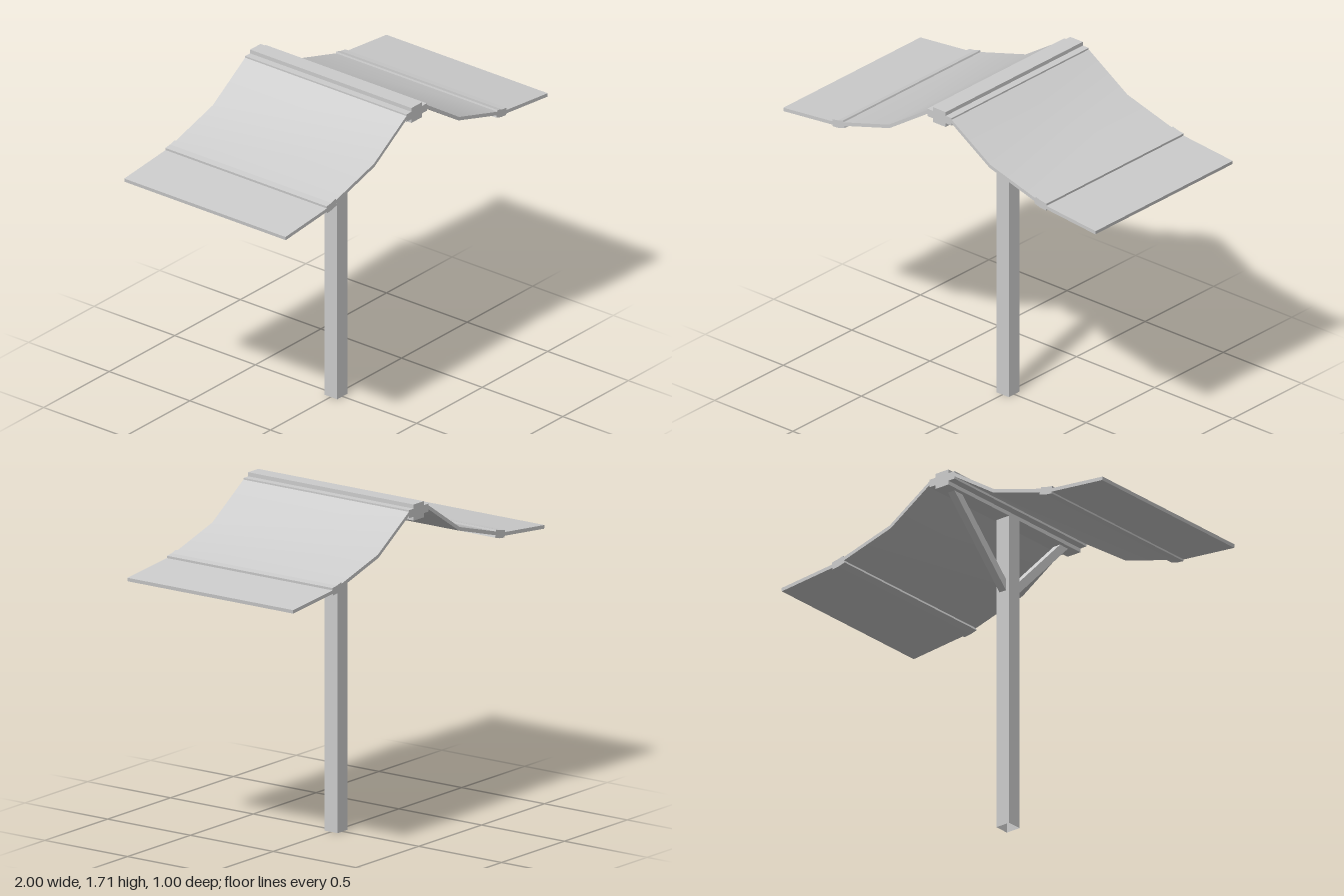
import * as THREE from 'three';
import { toCreasedNormals } from 'three/addons/utils/BufferGeometryUtils.js';

const grey = new THREE.MeshStandardMaterial({ color: 0xcccccc });
const greyOpen = new THREE.MeshStandardMaterial({ color: 0xcccccc, side: THREE.DoubleSide });

// Extrude an outline of [x, y] points, centred on z, softening only shallow bends.
function prism(points, depth, crease = 0.1) {
  const shape = new THREE.Shape(points.map(([x, y]) => new THREE.Vector2(x, y)));
  const geo = new THREE.ExtrudeGeometry(shape, { depth, bevelEnabled: false });
  geo.translate(0, 0, -depth / 2);
  return toCreasedNormals(geo, crease);
}

export function createModel() {
  const model = new THREE.Group();
  model.name = 'canopy';
  const add = (name, geo, material = grey) => {
    const mesh = new THREE.Mesh(geo, material);
    mesh.name = name;
    model.add(mesh);
    return mesh;
  };

  // Square hollow post, open at the ends
  const postGeo = new THREE.CylinderGeometry(0.04 * Math.SQRT2, 0.04 * Math.SQRT2, 1.64, 4, 1, true);
  postGeo.rotateY(Math.PI / 4);
  postGeo.translate(0, 0.82, 0);
  add('post', toCreasedNormals(postGeo, 0.5), greyOpen);

  // Ridge beam with a cross-shaped section
  const half = [[0.04, 1.63], [0.04, 1.65], [0.078, 1.65], [0.078, 1.69], [0.04, 1.69], [0.04, 1.71]];
  const ridge = [...half, ...half.map(([x, y]) => [-x, y]).reverse()];
  add('ridgeBeam', prism(ridge, 1));

  for (const side of [1, -1]) {
    const name = side > 0 ? 'left' : 'right';
    const flip = (points) => points.map(([x, y]) => [side * x, y]);

    // Bent inner panel, clamp strip and flat outer panel
    add(name + 'InnerPanel', prism(flip([
      [0.065, 1.69], [0.325, 1.521], [0.64, 1.43],
      [0.64, 1.411], [0.32, 1.504], [0.065, 1.67],
    ]), 1, 0.5));
    add(name + 'JointStrip', prism(flip([
      [0.617, 1.446], [0.65, 1.436], [0.686, 1.431],
      [0.683, 1.393], [0.645, 1.397], [0.607, 1.408],
    ]), 1));
    add(name + 'OuterPanel', prism(flip([
      [0.66, 1.422], [1, 1.388], [0.998, 1.37], [0.658, 1.404],
    ]), 1));

    // Diagonal brace from post to ridge, outlined in the z-y plane
    const brace = prism([[0.04, 1.24], [0.435, 1.635], [0.375, 1.635], [0.04, 1.3]], 0.04);
    brace.rotateY(-side * Math.PI / 2);
    add(side > 0 ? 'frontBrace' : 'backBrace', brace);
  }
  return model;
}
